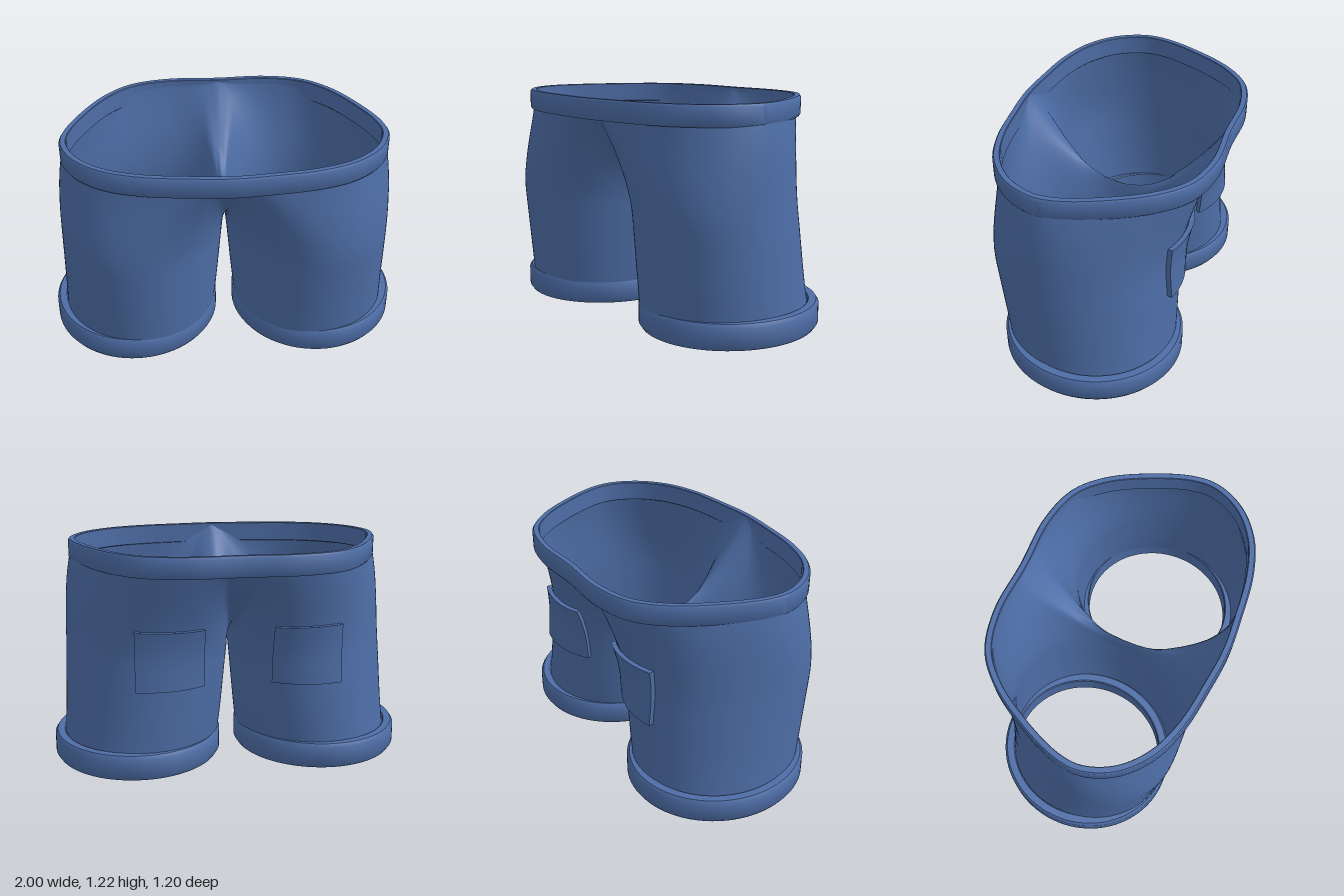
import * as THREE from 'three';
import { mergeVertices, mergeGeometries, toCreasedNormals } from 'three/addons/utils/BufferGeometryUtils.js';

const V = (x, y, z) => new THREE.Vector3(x, y, z);
const { lerp, smoothstep, clamp } = THREE.MathUtils;
const TAU = Math.PI * 2;

// Surface from a rule: at(i, j) gives the corner at column i, row j
function grid(cols, rows, at) {
  const pos = [], index = [];
  for (let i = 0; i <= cols; i++)
    for (let j = 0; j <= rows; j++) pos.push(...at(i, j).toArray());
  for (let i = 0; i < cols; i++)
    for (let j = 0; j < rows; j++) {
      const a = i * (rows + 1) + j, b = a + rows + 1;
      index.push(a, b, a + 1, b, b + 1, a + 1);
    }
  const g = new THREE.BufferGeometry();
  g.setAttribute('position', new THREE.Float32BufferAttribute(pos, 3));
  g.setIndex(index);
  return g;
}

// Waist outline: half from front centre to back centre, then mirrored
const half = [[0, 0.597], [0.2, 0.582], [0.45, 0.547], [0.65, 0.472], [0.8, 0.34], [0.875, 0.17],
  [0.868, 0.03], [0.78, -0.2], [0.655, -0.41], [0.51, -0.54], [0.29, -0.6], [0, -0.594]];
const outline = [...half, ...half.slice(1, -1).reverse().map(([x, z]) => [-x, z])];
const waist = new THREE.CatmullRomCurve3(outline.map(([x, z]) => V(x, 0, z)), true);
waist.arcLengthDivisions = 800;

// One leg: columns rise from the leg opening to either the waist or the crotch seam
const SPLIT = Math.PI * 0.75;
const hermite = (p, tp, q, tq, t) => {
  const t2 = t * t, t3 = t2 * t;
  return V(0, 0, 0).addScaledVector(p, 2 * t3 - 3 * t2 + 1).addScaledVector(tp, t3 - 2 * t2 + t)
    .addScaledVector(q, 3 * t2 - 2 * t3).addScaledVector(tq, t3 - t2);
};
function column(angle) {
  const a = Math.atan2(Math.sin(angle), Math.cos(angle)), c = Math.cos(a), s = Math.sin(a);
  const low = V(0.502 + 0.44 * c, 0.1, 0.015 + 0.475 * s);
  const mid = V(0.464 + 0.45 * c + 0.05 * s, 0.6, 0.045 + 0.49 * s);
  let top, k = 1;
  if (Math.abs(a) <= SPLIT + 1e-6) {
    const p = waist.getPointAt(clamp(0.25 * (1 - a / SPLIT), 0, 0.5));
    top = V(Math.max(0, p.x * 0.967), 1.218, p.z * 0.945);
    if (Math.abs(a) > SPLIT - 1e-6) top.x = 0;
  } else {
    k = (Math.PI - Math.abs(a)) / (Math.PI - SPLIT);
    top = V(0, 0.73 + 0.488 * k ** 1.5, Math.sign(s) * 0.563 * k ** 0.75);
  }
  const rise = top.y - mid.y;
  const slope = mid.clone().sub(low);
  // Columns meet the seam sideways, so both halves join smoothly
  const w = smoothstep(Math.abs(a), SPLIT - 0.8, SPLIT + 0.5);
  const end = V(-w * top.distanceTo(mid) * lerp(0.15, 1, k) - (1 - w) * 0.2 * c,
    (1 - w * Math.min(1, k * 2)) * rise, -(1 - w) * 0.06 * Math.max(0, -s));
  const lowSlope = V(slope.x * 1.4, slope.y, slope.z);
  const midSlope = slope.clone().multiplyScalar(rise / 0.5);
  return v => v < 0.5 ? hermite(low, lowSlope, mid, slope, v * 2)
    : hermite(mid, midSlope, top, end, v * 2 - 1);
}

function bodyGeometry() {
  const N = 96, M = 36;
  const sides = [1, -1].map(s => {
    const cols = Array.from({ length: N + 1 }, (_, i) => column(-s * TAU * i / N));
    return grid(N, M, (i, j) => {
      const p = cols[i](j / M);
      p.x = s * Math.max(0, p.x);
      return p;
    });
  });
  const g = mergeVertices(mergeGeometries(sides), 1e-4);
  g.computeVertexNormals();
  return g;
}

// Closed band swept round a loop seen from above; profile is [outward offset, y]
function band(count, loop, profile) {
  const g = grid(count, profile.length, (i, j) => {
    const t = (i % count) / count, p = loop(t);
    const d = loop((t + 0.002) % 1).sub(loop((t + 0.998) % 1)).normalize();
    const [o, y] = profile[j % profile.length];
    return V(p.x - d.z * o, y, p.z + d.x * o);
  });
  return toCreasedNormals(g, 0.6);
}
const bandProfile = (y0, y1, depth, bevel) => [
  [-bevel, y0], [0, y0 + bevel * 1.5], [0, y1 - bevel * 1.5], [-bevel, y1],
  [-depth + bevel * 0.4, y1], [-depth, y1 - bevel * 0.4], [-depth, y0 + bevel * 0.4], [-depth + bevel * 0.4, y0]];

// Point on the back of the leg at a given x and height
function onBack(x, y) {
  let a0 = Math.PI, a1 = Math.PI * 1.75, p;
  for (let n = 0; n < 22; n++) {
    const a = (a0 + a1) / 2, col = column(a);
    let v0 = 0, v1 = 1;
    for (let m = 0; m < 22; m++) {
      const v = (v0 + v1) / 2;
      if (col(v).y < y) v0 = v; else v1 = v;
    }
    p = col(v0);
    if (p.x < x) a0 = a; else a1 = a;
  }
  return p;
}

// Pocket patch wrapped on the leg, its border folded down to the cloth
function pocketGeometry(s) {
  const n = 12, m = 8;
  const g = grid(n + 2, m + 2, (i, j) => {
    const u = clamp((i - 1) / n, 0, 1), v = clamp((j - 1) / m, 0, 1);
    const edge = i === 0 || j === 0 || i === n + 2 || j === m + 2;
    const p = onBack(s > 0 ? lerp(0.555, 0.2, u) : lerp(0.2, 0.555, u), lerp(0.485, 0.81, v));
    const out = V(p.x - 0.464, 0, p.z - 0.045).normalize();
    p.addScaledVector(out, edge ? 0.003 : 0.03);
    p.x *= s;
    return p;
  });
  return toCreasedNormals(g, 0.6);
}

export function createModel() {
  const group = new THREE.Group();
  group.name = 'shorts';
  const denim = new THREE.MeshStandardMaterial({ color: 0x4d6da6, side: THREE.DoubleSide });
  denim.name = 'denim blue';
  const add = (name, geometry) => {
    const mesh = new THREE.Mesh(geometry, denim);
    mesh.name = name;
    group.add(mesh);
  };

  add('body', bodyGeometry());
  add('waistband', band(128, t => waist.getPointAt(t), bandProfile(1.11, 1.222, 0.038, 0.008)));

  for (const [s, side] of [[1, 'left'], [-1, 'right']]) {
    const cuffLoop = t => V(s * 0.525 + 0.475 * Math.cos(t * TAU), 0, -0.505 * Math.sin(t * TAU));
    add(side + 'Cuff', band(80, cuffLoop, bandProfile(0, 0.14, 0.06, 0.014)));
    add(side + 'BackPocket', pocketGeometry(s));
  }
  return group;
}
